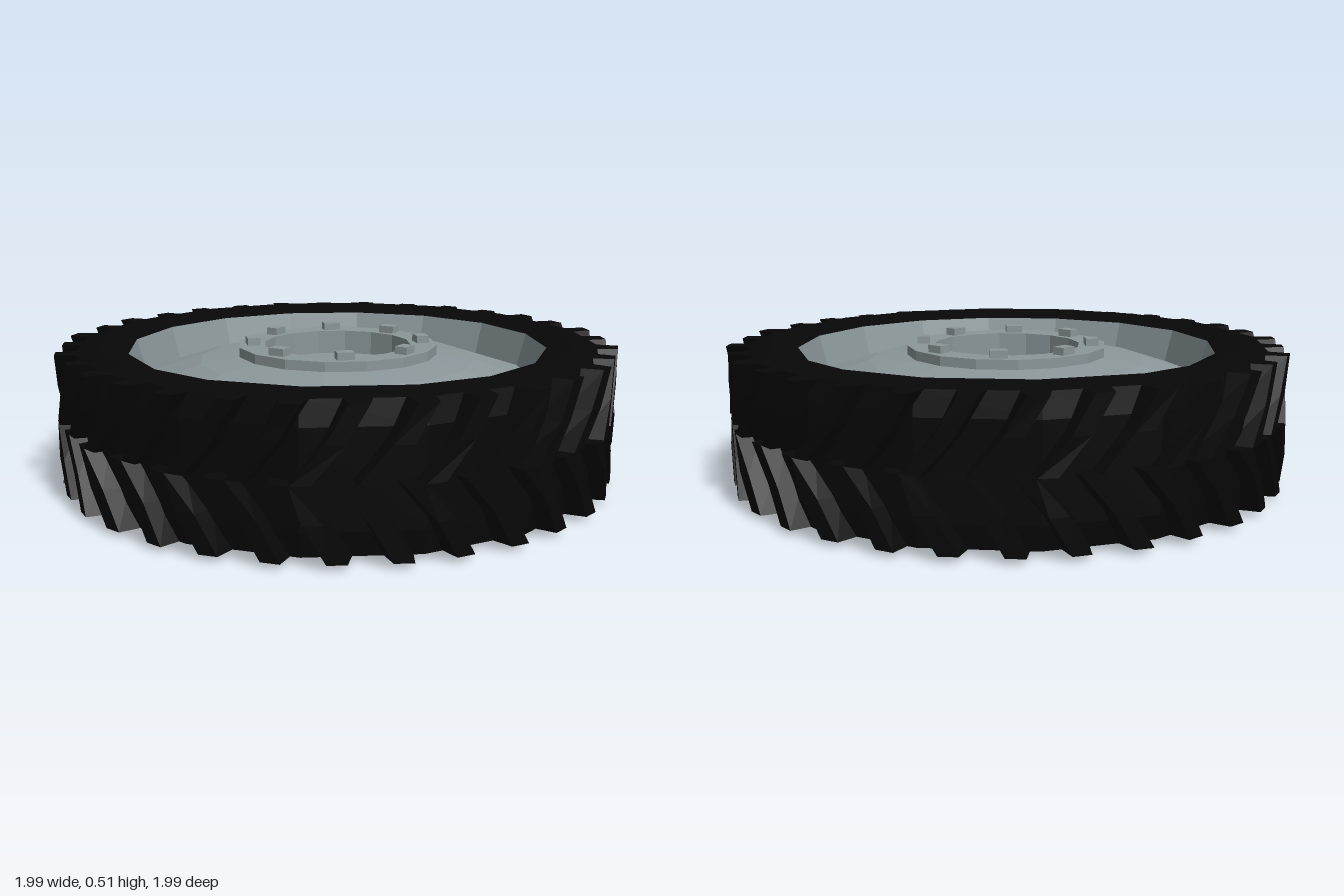
import * as THREE from 'three';
import { mergeGeometries } from 'three/addons/utils/BufferGeometryUtils.js';

const SIDES = 16, HEIGHT = 0.508, LUGS = 32;

const rubber = new THREE.MeshStandardMaterial({ color: 0x070707, flatShading: true });
const steel = new THREE.MeshStandardMaterial({ color: 0x8b979a, flatShading: true });

function lathe(name, points, material) {
  const profile = points.map(([r, y]) => new THREE.Vector2(r, y));
  const mesh = new THREE.Mesh(new THREE.LatheGeometry(profile, SIDES), material);
  mesh.name = name;
  return mesh;
}

// Flip a profile or path about the wheel's middle plane, keeping its direction
const mirrorProfile = (points) => points.map(([r, y]) => [r, HEIGHT - y]).reverse();

// Point at height y on a ring that keeps the tyre's sixteen-sided outline
function ringPoint(angle, radius, y) {
  const step = (2 * Math.PI) / SIDES;
  const local = angle - Math.floor(angle / step) * step - step / 2;
  const r = (radius * Math.cos(step / 2)) / Math.cos(local);
  return [r * Math.sin(angle), y, r * Math.cos(angle)];
}

// One tread bar: trapezoid sections lofted upward through [angle, y] stations
function lugGeometry(stations, turn) {
  const positions = [], index = [];
  for (const [offset, y] of stations) {
    const a = offset + turn;
    positions.push(
      ...ringPoint(a - 0.05, 0.92, y), ...ringPoint(a - 0.031, 1, y),
      ...ringPoint(a + 0.031, 1, y), ...ringPoint(a + 0.05, 0.92, y));
  }
  const quad = (a, b, c, d) => index.push(a, b, c, a, c, d);
  for (let s = 0; s < stations.length - 1; s++) {
    for (let i = 0; i < 4; i++) {
      const j = (i + 1) % 4;
      quad(s * 4 + i, s * 4 + j, s * 4 + 4 + j, s * 4 + 4 + i);
    }
  }
  const top = (stations.length - 1) * 4;
  quad(3, 2, 1, 0);
  quad(top, top + 1, top + 2, top + 3);
  const geometry = new THREE.BufferGeometry();
  geometry.setAttribute('position', new THREE.Float32BufferAttribute(positions, 3));
  geometry.setIndex(index);
  geometry.computeVertexNormals();
  return geometry;
}

// Staggered chevron bars, upper and lower halves
function createTread() {
  const upper = [[-0.17, 0.254], [-0.07, 0.37], [0, 0.49]];
  const lower = mirrorProfile(upper);
  const bars = [];
  for (let i = 0; i < LUGS; i++) {
    const turn = (i * 2 * Math.PI) / LUGS;
    bars.push(lugGeometry(upper, turn - 0.017), lugGeometry(lower, turn + 0.115));
  }
  const tread = new THREE.Mesh(mergeGeometries(bars), rubber);
  tread.name = 'treadBars';
  return tread;
}

// Eight wheel nuts on the hub ring
function createNuts() {
  const nuts = new THREE.Group();
  nuts.name = 'wheelNuts';
  const geometry = new THREE.BoxGeometry(0.06, 0.03, 0.045);
  for (let i = 0; i < 8; i++) {
    const a = ((i + 0.25) * Math.PI) / 4;
    const nut = new THREE.Mesh(geometry, steel);
    nut.name = 'wheelNut';
    nut.position.set(0.305 * Math.sin(a), 0.493, 0.305 * Math.cos(a));
    nut.rotation.y = a + 0.15;
    nuts.add(nut);
  }
  return nuts;
}

export function createModel() {
  const wheel = new THREE.Group();
  wheel.name = 'wheel';
  // Sidewalls dip inward to meet the rim
  const shoulder = [[0.945, 0.41], [0.93, 0.49], [0.85, HEIGHT], [0.748, 0.48]];
  // Rim wall and gently domed disc, the same on both faces
  const rim = [[0.748, 0.48], [0.715, 0.36], [0.5, 0.43], [0.36, 0.448]];
  wheel.add(
    lathe('tyre', [...mirrorProfile(shoulder), ...shoulder], rubber),
    createTread(),
    lathe('rimFront', rim, steel),
    lathe('hubRing', [[0.36, 0.445], [0.36, 0.482], [0.265, 0.482], [0.265, 0.395], [0, 0.395]], steel),
    lathe('rimBack', mirrorProfile([...rim, [0, 0.45]]), steel),
    createNuts());
  return wheel;
}
